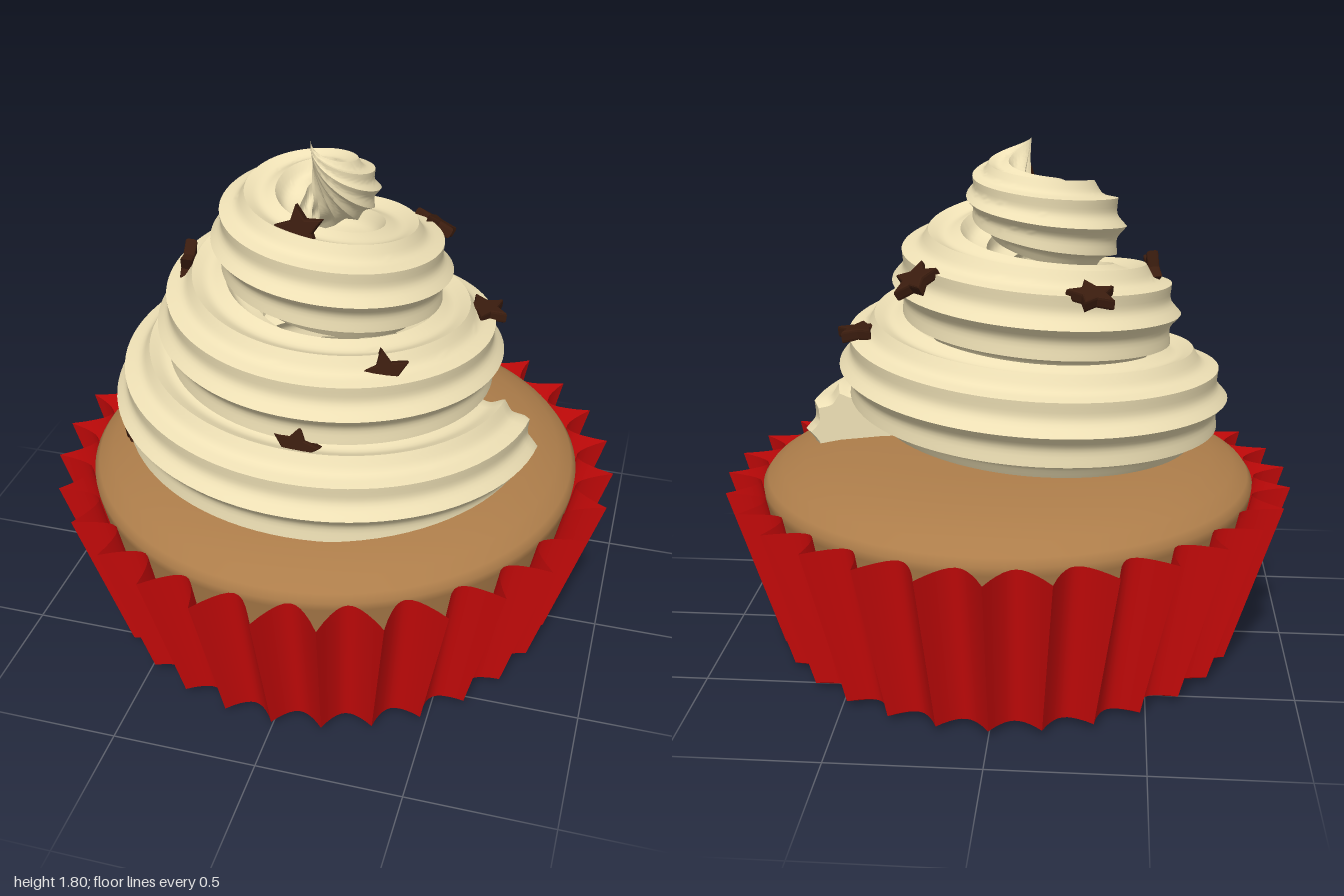
import * as THREE from 'three';
import { toCreasedNormals } from 'three/addons/utils/BufferGeometryUtils.js';

const paper = new THREE.MeshStandardMaterial({ color: 0xcc0a0a, side: THREE.DoubleSide });
const sponge = new THREE.MeshStandardMaterial({ color: 0xad7d4a });
const cream = new THREE.MeshStandardMaterial({ color: 0xeee0b5, side: THREE.DoubleSide });
const chocolate = new THREE.MeshStandardMaterial({ color: 0x3a1c0e });

// Grid surface from rows of points; columns wrap around
function loft(rows, cols, pointAt, crease) {
  const positions = [], index = [];
  for (let i = 0; i < rows; i++)
    for (let j = 0; j <= cols; j++) positions.push(...pointAt(i, (j % cols) / cols * Math.PI * 2));
  for (let i = 0; i < rows - 1; i++)
    for (let j = 0; j < cols; j++) {
      const a = i * (cols + 1) + j, c = a + cols + 1;
      index.push(a, a + 1, c, a + 1, c + 1, c);
    }
  const geometry = new THREE.BufferGeometry();
  geometry.setAttribute('position', new THREE.Float32BufferAttribute(positions, 3));
  geometry.setIndex(index);
  return toCreasedNormals(geometry, crease);
}

function add(parent, name, geometry, material) {
  const mesh = new THREE.Mesh(geometry, material);
  mesh.name = name;
  parent.add(mesh);
  return mesh;
}

// Pleated cup: [y, outer radius, pleat depth], closed at the bottom
function wrapperGeometry() {
  const rings = [[0, 0, 0], [0, 0.75, 0.05], [0.025, 0.82, 0.07], [0.61, 1, 0.125]];
  return loft(rings.length, 300, (i, a) => {
    const [y, outer, depth] = rings[i];
    const r = outer - depth * Math.abs(Math.sin(15 * a)) ** 0.85;
    return [r * Math.sin(a), y, r * Math.cos(a)];
  }, 0.6);
}

// Domed cake top
function cakeGeometry() {
  const profile = [[0.76, 0.1], [0.865, 0.58], [0.868, 0.61], [0.85, 0.635], [0.8, 0.667],
    [0.72, 0.698], [0.6, 0.722], [0.45, 0.737], [0.25, 0.745], [0, 0.747]];
  return new THREE.LatheGeometry(profile.map(([x, y]) => new THREE.Vector2(x, y)), 96);
}

// Piped swirl: a ridged tube winding up; stations every quarter turn
function frostingGeometry() {
  const stations = [ // coil radius, height, tube radius
    [0.63, 0.75, 0.18], [0.54, 0.83, 0.18], [0.51, 0.91, 0.18], [0.51, 0.97, 0.18],
    [0.48, 1.05, 0.18], [0.41, 1.12, 0.18], [0.34, 1.2, 0.18], [0.34, 1.27, 0.18],
    [0.29, 1.34, 0.18], [0.22, 1.43, 0.175], [0.16, 1.5, 0.165], [0.15, 1.56, 0.14],
    [0.1, 1.64, 0.1], [0.01, 1.8, 0]];
  const path = new THREE.CatmullRomCurve3(stations.map(s => new THREE.Vector3(...s)));
  path.curveType = 'catmullrom';
  const rows = 290, turn = (stations.length - 1) * Math.PI / 2;
  return loft(rows, 80, (i, a) => {
    const t = Math.max(0, i - 2) / (rows - 3);
    const phi = i < 2 ? -0.06 : t * turn;
    const s = path.getPoint(t);
    const cap = [0, 0.85][i] ?? 1;
    const tube = Math.max(0, s.z) * cap * (1 - 0.16 * Math.abs(Math.sin(5 * a)));
    const r = s.x + tube * Math.cos(a);
    return [-0.08 + r * Math.cos(phi), s.y + tube * Math.sin(a), r * Math.sin(phi)];
  }, 0.75);
}

// Five-pointed sprinkle centred on its own origin, facing +z
function starGeometry() {
  const points = [];
  for (let k = 0; k < 10; k++) {
    const r = k % 2 ? 0.036 : 0.076, a = Math.PI / 2 + k * Math.PI / 5;
    points.push(new THREE.Vector2(r * Math.cos(a), r * Math.sin(a)));
  }
  const geometry = new THREE.ExtrudeGeometry(new THREE.Shape(points), {
    depth: 0.022, bevelEnabled: true, bevelThickness: 0.009, bevelSize: 0.006, bevelSegments: 2 });
  return geometry.translate(0, 0, -0.011);
}

export function createModel() {
  const model = new THREE.Group();
  model.name = 'cupcake';
  add(model, 'wrapper', wrapperGeometry(), paper);
  add(model, 'cake', cakeGeometry(), sponge);
  add(model, 'frosting', frostingGeometry(), cream);

  // Sprinkles: position, facing direction, spin
  const sprinkles = new THREE.Group();
  sprinkles.name = 'starSprinkles';
  model.add(sprinkles);
  const star = starGeometry();
  [
    [[-0.05, 1.59, 0.24], [0, 0.25, 1], 0.2],
    [[0.27, 1.2, 0.39], [0.4, 0.35, 0.9], 0.1],
    [[0.02, 0.98, 0.55], [0, 0.3, 1], -0.2],
    [[-0.5, 1.33, 0.07], [-1, 0.1, 0.15], 0.3],
    [[-0.66, 0.81, 0.31], [-0.8, -0.1, 0.55], 0.4],
    [[0.49, 1.16, -0.18], [0.1, 1, 0], 0.3],
    [[0.27, 1.38, -0.36], [0.4, 0.8, -0.35], 0.5],
    [[-0.3, 1.36, -0.45], [-0.1, 1, -0.25], 0],
  ].forEach(([position, facing, spin], k) => {
    const mesh = add(sprinkles, 'star' + (k + 1), star, chocolate);
    mesh.position.set(...position);
    mesh.lookAt(new THREE.Vector3(...position).add(new THREE.Vector3(...facing)));
    mesh.rotateZ(spin);
  });
  return model;
}
